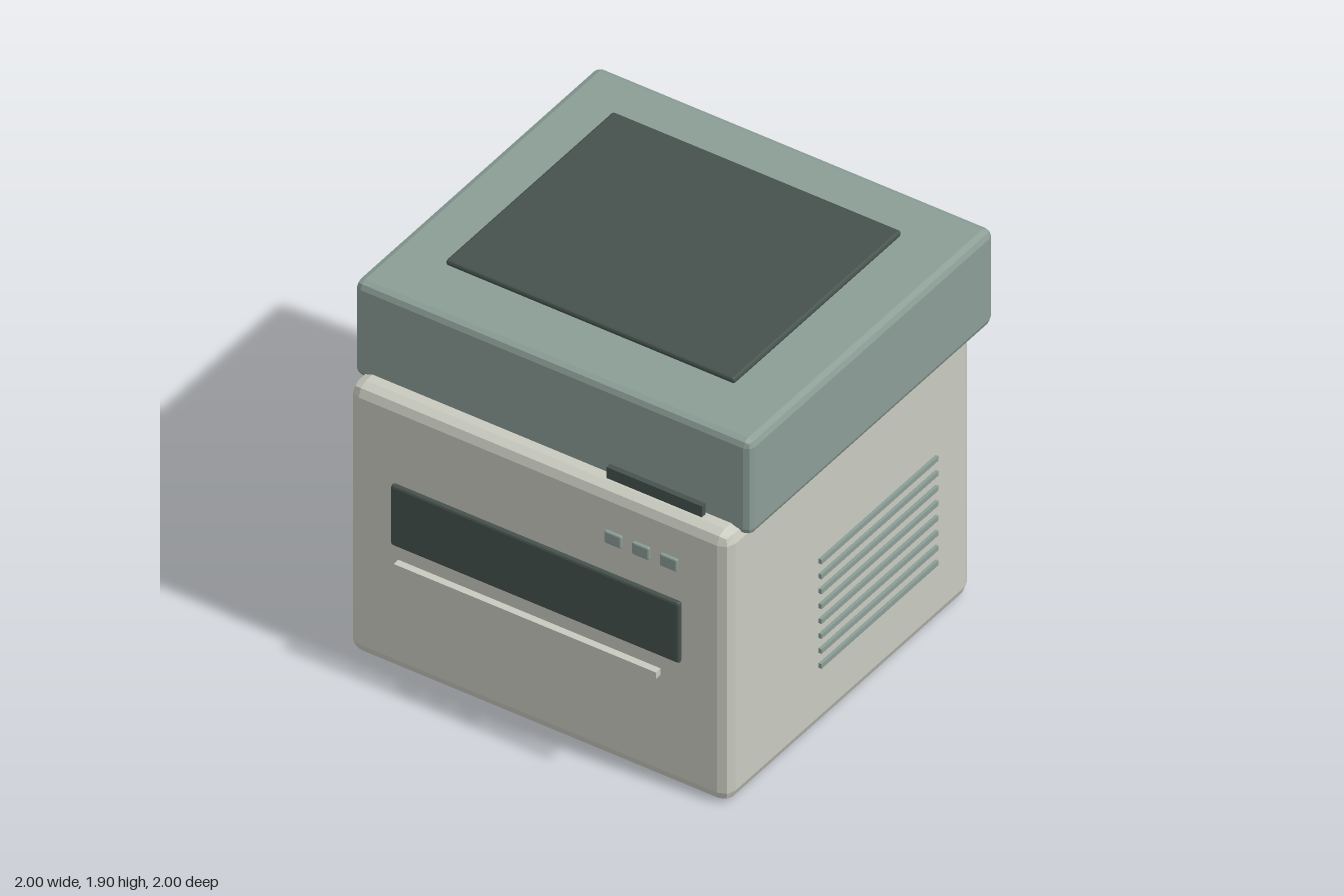
import * as THREE from 'three';
import { RoundedBoxGeometry } from 'three/addons/geometries/RoundedBoxGeometry.js';

const material = (color) => new THREE.MeshStandardMaterial({ color, flatShading: true });

export function createModel() {
  const model = new THREE.Group();
  model.name = 'desktopPrinter';
  const cream = material(0xc8cabf);
  const green = material(0x8b9d96);
  const dark = material(0x46524e);

  // Box given by its lower and upper corners, with an optional two-step bevel
  function addBox(name, mat, [x0, y0, z0], [x1, y1, z1], bevel = 0, parent = model) {
    const size = [x1 - x0, y1 - y0, z1 - z0];
    const geometry = bevel
      ? new RoundedBoxGeometry(...size, 1, bevel)
      : new THREE.BoxGeometry(...size);
    const mesh = new THREE.Mesh(geometry, mat);
    mesh.name = name;
    mesh.position.set((x0 + x1) / 2, (y0 + y1) / 2, (z0 + z1) / 2);
    parent.add(mesh);
    return mesh;
  }

  // Main housing and overhanging lid, set back from the front
  addBox('body', cream, [-0.957, 0, -0.9], [0.957, 1.4, 0.903], 0.055);
  addBox('lid', green, [-0.998, 1.357, -1], [0.998, 1.85, 0.8], 0.035);
  addBox('topPanel', dark, [-0.727, 1.87, -0.715], [0.727, 1.9, 0.52], 0.012);

  // Front opening, paper lip and lid latch
  addBox('frontSlot', dark, [-0.727, 0.665, 0.9], [0.727, 0.98, 0.928], 0.012);
  addBox('paperLip', cream, [-0.66, 0.606, 0.965], [0.66, 0.64, 1]);
  addBox('latch', dark, [0.3, 1.39, 0.81], [0.78, 1.457, 0.837]);

  // Row of control buttons
  const buttons = new THREE.Group();
  buttons.name = 'buttons';
  for (let i = 0; i < 3; i++) {
    const x = 0.4 + i * 0.14;
    addBox('button', green, [x - 0.043, 1.152, 0.922], [x + 0.043, 1.215, 0.941], 0.007, buttons);
  }
  model.add(buttons);

  // Vent slats on the left side only
  const vents = new THREE.Group();
  vents.name = 'vents';
  for (let i = 0; i < 8; i++) {
    const y = 0.323 + i * 0.078;
    addBox('ventSlat', green, [0.95, y - 0.012, -0.627], [0.972, y + 0.012, 0.235], 0, vents);
  }
  model.add(vents);

  return model;
}
